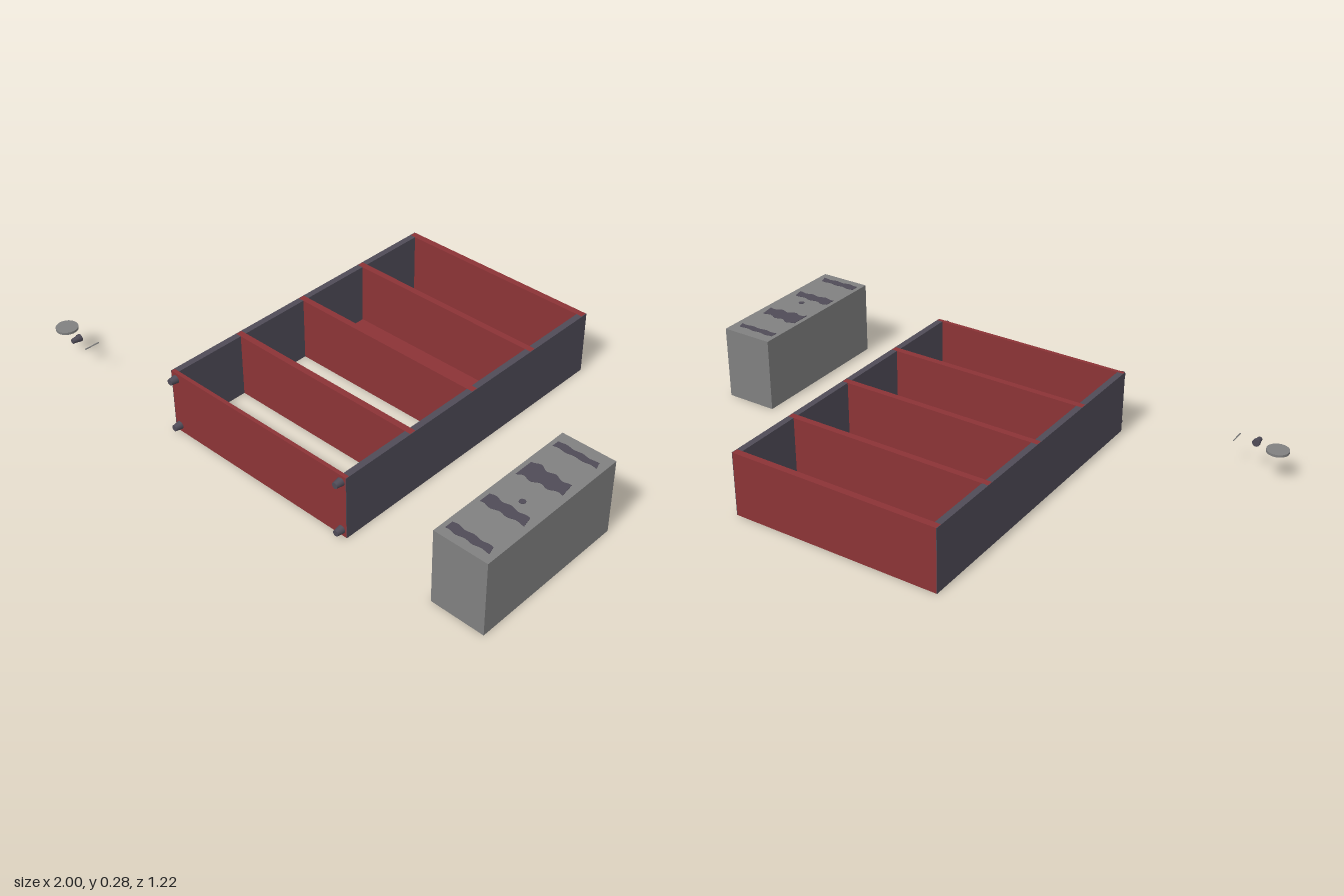
import * as THREE from 'three';

const mat = (name, color) => {
  const m = new THREE.MeshStandardMaterial({ color });
  m.name = name;
  return m;
};

export function createModel() {
  const root = new THREE.Group();
  root.name = 'shelfKit';
  const red = mat('red board', 0x8b3336);
  const dark = mat('dark slate', 0x4f4b57);
  const grey = mat('grey', 0x808080);

  const add = (name, geo, material, x = 0, y = 0, z = 0, parent = root) => {
    const m = new THREE.Mesh(geo, material);
    m.name = name;
    m.position.set(x, y, z);
    parent.add(m);
    return m;
  };
  // box given by its minimum and maximum corners
  const block = (name, material, a, b, parent = root) =>
    add(name, new THREE.BoxGeometry(b[0] - a[0], b[1] - a[1], b[2] - a[2]), material,
      (a[0] + b[0]) / 2, (a[1] + b[1]) / 2, (a[2] + b[2]) / 2, parent);

  // shelving unit lying on its back
  const unit = new THREE.Group();
  unit.name = 'shelvingUnit';
  root.add(unit);
  const x0 = -0.362, x1 = 0.435, h = 0.24, wall = 0.024, skin = 0.002;
  const boards = [[-0.613, -0.588], [-0.326, -0.302], [-0.025, -0.001], [0.273, 0.297], [0.571, 0.585]];
  boards.forEach(([a, b], i) =>
    block('shelf' + (i + 1), red, [x0 + skin, 0, a], [x1 - skin, h, b], unit));

  // side walls between the shelves, with a continuous outer face
  for (const [name, outer, dir] of [['rightSide', x0, 1], ['leftSide', x1, -1]]) {
    const span = (p, q) => [Math.min(outer + dir * p, outer + dir * q), Math.max(outer + dir * p, outer + dir * q)];
    const [s0, s1] = span(0, skin);
    block(name + 'Face', dark, [s0, 0, -0.613], [s1, h, 0.585], unit);
    const [w0, w1] = span(skin, wall);
    for (let i = 0; i < 4; i++)
      block(name + 'Wall', dark, [w0, 0, boards[i][1]], [w1, h, boards[i + 1][0]], unit);
  }

  // back panel of one bay
  block('backPanel', red, [x0 + wall, 0, -0.302], [x1 - wall, 0.012, -0.025], unit);

  // tapered feet pointing forward
  const footGeo = new THREE.CylinderGeometry(0.011, 0.015, 0.028, 20).rotateX(Math.PI / 2);
  for (const x of [-0.34, 0.413])
    for (const y of [0.024, 0.216]) add('foot', footGeo, dark, x, y, 0.598, unit);

  // loose foot, disc and pin
  const loose = new THREE.Group();
  loose.name = 'looseFoot';
  loose.position.set(-0.877, 0.12, 0.575);
  root.add(loose);
  add('cap', new THREE.CylinderGeometry(0.014, 0.014, 0.01, 20).rotateX(Math.PI / 2), dark, 0, 0, 0.005, loose);
  add('stem', new THREE.CylinderGeometry(0.009, 0.012, 0.026, 20).rotateX(Math.PI / 2), dark, 0, 0, 0.022, loose);
  add('disc', new THREE.CylinderGeometry(0.04, 0.04, 0.009, 32), grey, -0.96, 0.12, 0.57);
  add('pin', new THREE.CylinderGeometry(0.0022, 0.0022, 0.058, 10).rotateX(Math.PI / 2), grey, -0.806, 0.12, 0.579);

  // packing box
  block('packingBox', grey, [0.8, 0, 0.01], [1, 0.279, 0.61]);

  // ragged dark patches on the box lid: z centre, half depth left and right
  for (const [z, dl, dr] of [[0.066, 0.017, 0.013], [0.218, 0.046, 0.028], [0.403, 0.028, 0.02], [0.562, 0.02, 0.015]]) {
    const pts = [];
    const n = 20;
    for (let k = 0; k <= 2 * n; k++) {
      const top = k <= n;
      const t = top ? k / n : (2 * n - k) / n;
      const d = (dl + (dr - dl) * t) * (0.85 + 0.15 * Math.sin(t * 17 + z * 40 + (top ? 0 : 2)));
      pts.push(new THREE.Vector2(0.817 + 0.16 * t, -z + (top ? -d : d)));
    }
    const geo = new THREE.ExtrudeGeometry(new THREE.Shape(pts), { depth: 0.0015, bevelEnabled: false });
    add('lidPatch', geo.rotateX(-Math.PI / 2), dark, 0, 0.279, 0);
  }
  add('lidDot', new THREE.CylinderGeometry(0.011, 0.011, 0.0015, 16), dark, 0.908, 0.2798, 0.343);

  return root;
}
